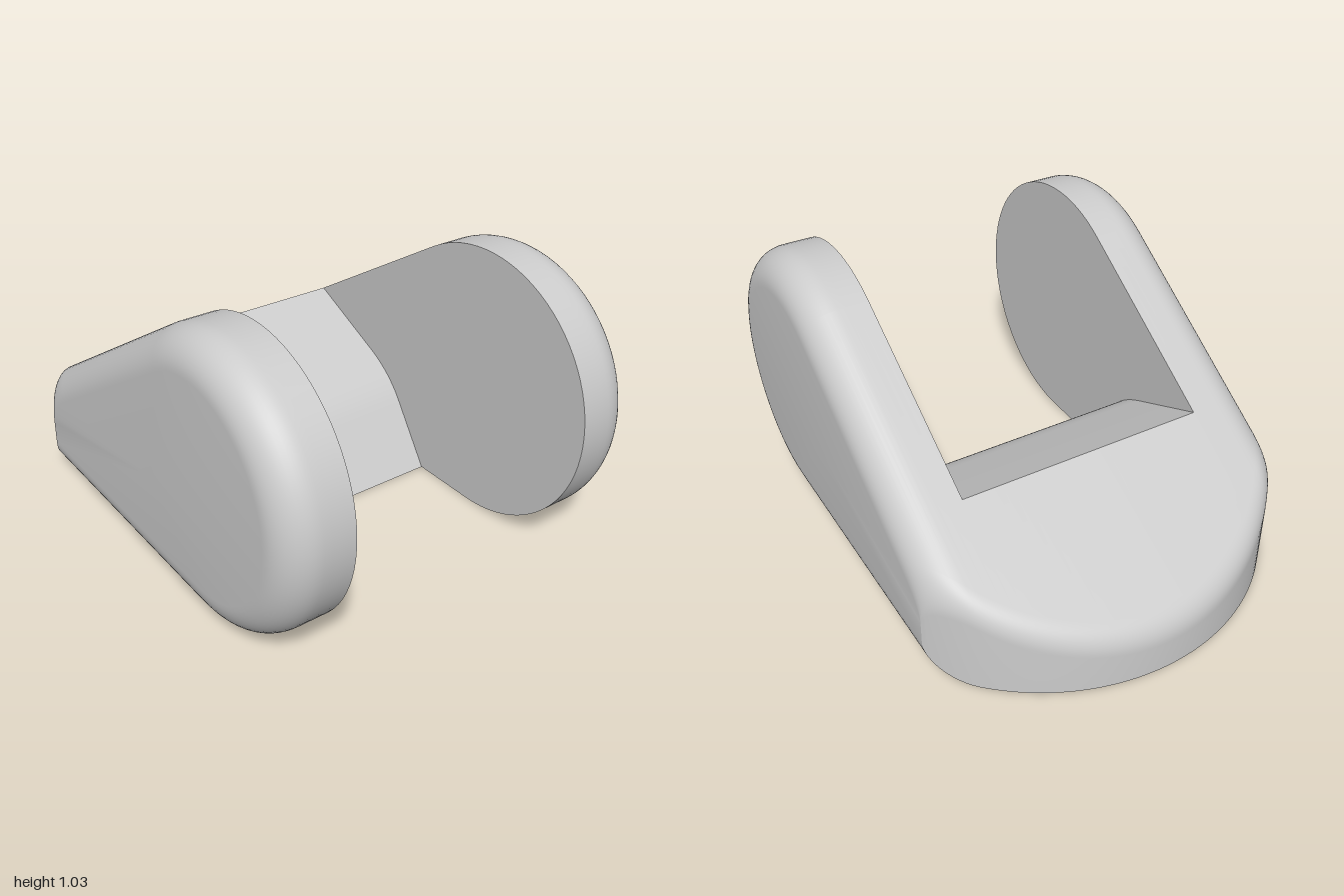
import * as THREE from 'three';
import { mergeGeometries, toCreasedNormals } from 'three/addons/utils/BufferGeometryUtils.js';

const HALF = 0.72, SLOT = 0.475, ROUND = 0.13;   // half width, half slot width, edge radius
const CX = 0.485, CY = 0.515, R = 0.515;         // round end of the side profile
const NOSE_R = 0.848, NOSE_X = -0.152;           // nose arc in plan
const SLOPE = THREE.MathUtils.degToRad(32.1);
const V = (x, y) => new THREE.Vector2(x, y);

// Height of the sloping top, lowered by an inset d
const topY = (x, d) => CY + (R - d + Math.sin(SLOPE) * (x - CX)) / Math.cos(SLOPE);

// Rounded corner between the nose wall and the sloping top, top to bottom
function noseCorner(z, d) {
  const wall = Math.sqrt(NOSE_R ** 2 - z * z);
  const x = NOSE_X - wall;
  const x2 = x + 0.06 * NOSE_R / wall;
  return new THREE.QuadraticBezierCurve(
    V(x2, topY(x2, d)), V(x, topY(x, d)), V(x, topY(x, d) - 0.072)).getPoints(10);
}

// Teardrop outline of an arm, shrunk near its outer face
function armOutline(z) {
  const s = Math.max(0, Math.abs(z) - (HALF - ROUND));
  const d = ROUND - Math.sqrt(Math.max(0, ROUND ** 2 - s * s));
  const pts = [V(NOSE_X - Math.sqrt(NOSE_R ** 2 - z * z), d)];
  const end = Math.PI / 2 + SLOPE;
  for (let i = 0; i <= 48; i++) {
    const a = -Math.PI / 2 + (end + Math.PI / 2) * i / 48;
    pts.push(V(CX + (R - d) * Math.cos(a), CY + (R - d) * Math.sin(a)));
  }
  return pts.concat(noseCorner(z, d));
}

// Outline of the bridge, with its bent slot floor
function bridgeOutline(z) {
  const bend = new THREE.QuadraticBezierCurve(V(0.07, 0.225), V(0, 0.33), V(-0.12, 0.385));
  return [V(NOSE_X - Math.sqrt(NOSE_R ** 2 - z * z), 0), V(0.225, 0),
    ...bend.getPoints(10), V(-0.45, topY(-0.45, 0)), ...noseCorner(z, 0)];
}

// Skin the outlines along z, optionally closing both ends
function loft(outline, zs, capped) {
  const pos = [];
  const rings = zs.map(z => outline(z).map(p => [p.x, p.y, z]));
  const n = rings[0].length;
  for (let i = 0; i < rings.length - 1; i++) {
    for (let j = 0; j < n; j++) {
      const k = (j + 1) % n, A = rings[i], B = rings[i + 1];
      pos.push(...A[j], ...A[k], ...B[k], ...A[j], ...B[k], ...B[j]);
    }
  }
  if (capped) {
    const first = rings[0], last = rings[rings.length - 1];
    for (let j = 0; j < n; j++) {
      const k = (j + 1) % n;
      pos.push(0.2, 0.4, zs[0], ...first[k], ...first[j]);
      pos.push(0.2, 0.4, zs[zs.length - 1], ...last[j], ...last[k]);
    }
  }
  const g = new THREE.BufferGeometry();
  g.setAttribute('position', new THREE.Float32BufferAttribute(pos, 3));
  return g;
}

export function createModel() {
  const group = new THREE.Group();
  group.name = 'forkedWedge';

  // Slices of one arm: straight inner part, then the rounded outer edge
  const armZ = [];
  for (let i = 0; i < 4; i++) armZ.push(SLOT + (HALF - ROUND - SLOT) * i / 4);
  for (let i = 0; i <= 12; i++) armZ.push(HALF - ROUND + ROUND * Math.sin(Math.PI / 2 * i / 12));
  const mirroredZ = armZ.map(z => -z).reverse();

  const bridgeZ = [];
  for (let i = 0; i <= 32; i++) bridgeZ.push(-SLOT + 2 * SLOT * i / 32);

  // Both arms and the bridge form one continuous body
  const body = mergeGeometries([
    loft(armOutline, armZ, true),
    loft(armOutline, mirroredZ, true),
    loft(bridgeOutline, bridgeZ, false),
  ]);
  const mesh = new THREE.Mesh(toCreasedNormals(body, THREE.MathUtils.degToRad(25)),
    new THREE.MeshStandardMaterial({ color: 0xcccccc }));
  mesh.name = 'forkedBody';
  group.add(mesh);
  return group;
}
